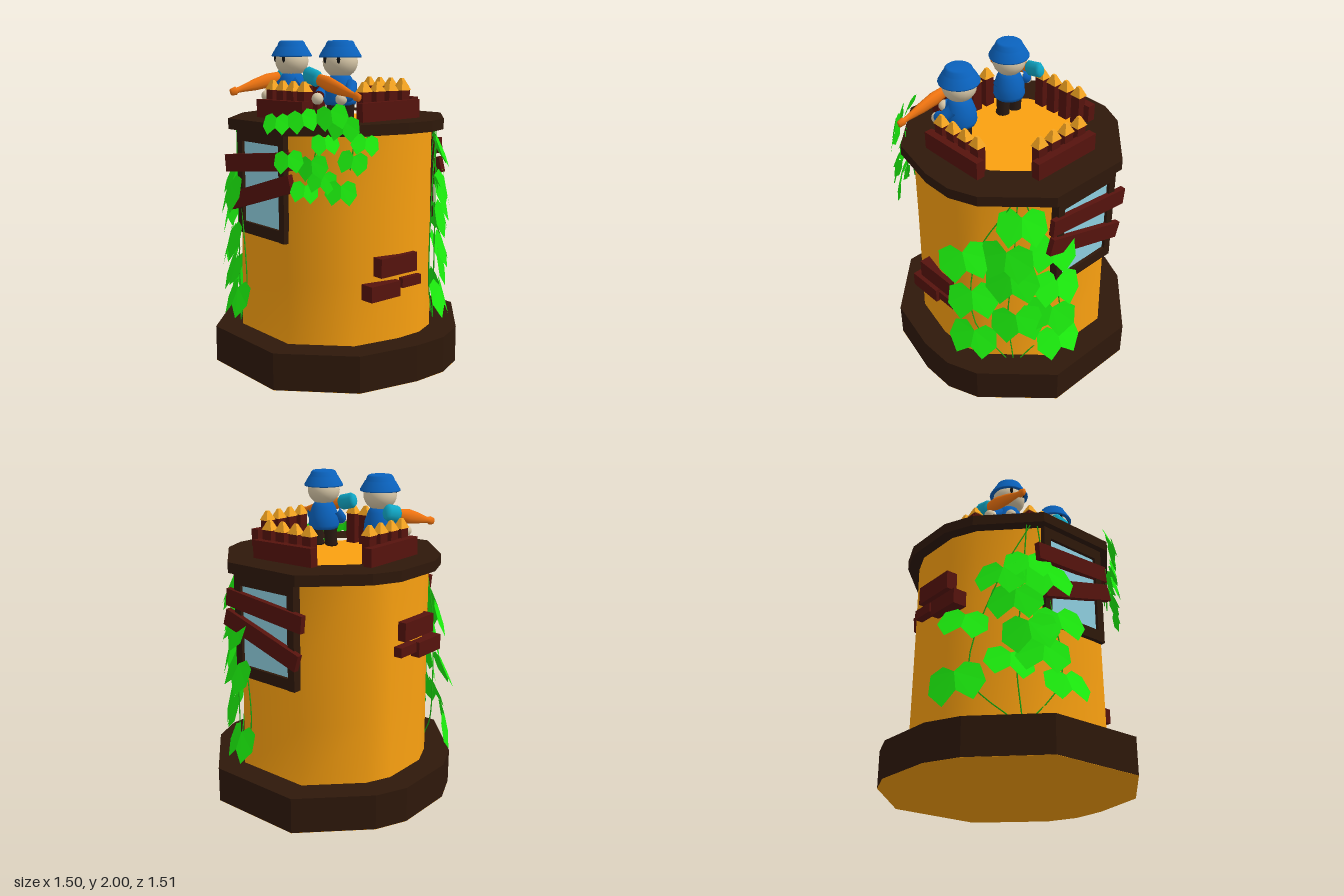
import * as THREE from 'three';

const mat = (color, extra = {}) => new THREE.MeshStandardMaterial({ color, ...extra });
const M = {
  wall: mat(0xf9a010), dark: mat(0x2e180a), plank: mat(0x56130d), glass: mat(0x8fd0e0),
  tip: mat(0xf5a521, { flatShading: true }), blue: mat(0x0a62bd), skin: mat(0xd8c8a8),
  cyan: mat(0x10a9c8), orange: mat(0xf07410), black: mat(0x111111), trousers: mat(0x2a1a12),
  leaf: mat(0x1cf00e, { side: THREE.DoubleSide, flatShading: true }), stem: mat(0x1cb010),
};

// Faceted plan of the tower, shared by base, wall and rim (x, z)
const PLAN = [[-0.3, -0.765], [0.315, -0.765], [0.68, -0.41], [0.758, -0.215], [0.758, 0.01], [0.675, 0.39],
  [0.315, 0.742], [-0.3, 0.742], [-0.65, 0.39], [-0.74, 0.18], [-0.74, -0.215], [-0.655, -0.41]];

function add(parent, name, geo, material, x = 0, y = 0, z = 0) {
  const m = new THREE.Mesh(geo, material);
  m.name = name;
  m.position.set(x, y, z);
  parent.add(m);
  return m;
}
const box = (p, name, m, w, h, d, x, y, z) => add(p, name, new THREE.BoxGeometry(w, h, d), m, x, y, z);
const lathe = (pts, n = 20) => new THREE.LatheGeometry(pts.map(p => new THREE.Vector2(...p)), n);
const planPoints = s => PLAN.map(([x, z]) => new THREE.Vector2(x * s, -z * s));

// Flat slab with the tower's plan, optionally with a hole
function slab(p, name, m, scale, y0, y1, hole) {
  const shape = new THREE.Shape(planPoints(scale));
  if (hole) shape.holes.push(new THREE.Path(planPoints(hole)));
  const g = new THREE.ExtrudeGeometry(shape, { depth: y1 - y0, bevelEnabled: false });
  g.rotateX(-Math.PI / 2);
  return add(p, name, g, m, 0, y0, 0);
}

// Smooth wall: stacked rings of the plan
function wallGeometry(rings) {
  const pos = [], idx = [], n = PLAN.length;
  rings.forEach(([y, s], r) => PLAN.forEach(([x, z], i) => {
    pos.push(x * s, y, z * s);
    if (r === 0) return;
    const t0 = r * n + i, t1 = r * n + (i + 1) % n, l0 = t0 - n, l1 = t1 - n;
    idx.push(l1, l0, t0, l1, t0, t1);
  }));
  const g = new THREE.BufferGeometry();
  g.setAttribute('position', new THREE.Float32BufferAttribute(pos, 3));
  g.setIndex(idx);
  g.computeVertexNormals();
  return g;
}

// Boarded window; dir is +1 for the front, -1 for the back, turn swings the boards into the wall
function boardedWindow(dir, face, x, turn) {
  const g = new THREE.Group();
  g.name = dir > 0 ? 'frontWindow' : 'backWindow';
  const z = d => dir * (face + d);
  box(g, 'glass', M.glass, 0.4, 0.52, 0.03, x, 1.155, z(0.01));
  for (const s of [-1, 1]) {
    box(g, 'windowJamb', M.dark, 0.05, 0.64, 0.06, x + s * 0.211, 1.155, z(0.015));
    box(g, 'windowRail', M.dark, 0.38, 0.07, 0.06, x, 1.155 + s * 0.283, z(0.015));
  }
  box(g, 'upperBoard', M.plank, 0.6, 0.105, 0.035, -0.005, 1.29, z(0.046)).rotation.set(0, turn, 0.11);
  box(g, 'lowerBoard', M.plank, 0.6, 0.105, 0.035, 0.02, 1.11, z(0.05)).rotation.set(0, turn, 0.3);
  return g;
}

// Rail with four tipped stakes; local +z points outward
function fence(name, x, z, yaw) {
  const g = new THREE.Group();
  g.name = name;
  box(g, 'rail', M.plank, 0.46, 0.11, 0.055, 0, 1.592, 0.045).rotation.z = 0.012;
  const tip = new THREE.CylinderGeometry(0.014, 0.056, 0.058, 4).rotateY(Math.PI / 4).scale(1, 1, 0.82);
  for (let i = 0; i < 4; i++) {
    const sx = (i - 1.5) * 0.104;
    box(g, 'stake', M.plank, 0.066, 0.21, 0.055, sx, 1.602, 0);
    add(g, 'stakeTip', tip, M.tip, sx, 1.733, 0);
  }
  g.position.set(x, 0, z);
  g.rotation.y = yaw;
  return g;
}

// Blaster from its rear end to its nozzle, slimmer sideways than upright
function blaster(from, to) {
  const g = new THREE.Group();
  g.name = 'blaster';
  const a = new THREE.Vector3(...from), d = new THREE.Vector3(...to).sub(a);
  add(g, 'tank', lathe([[0, 0], [0.035, 0], [0.05, 0.02], [0.05, 0.11], [0.035, 0.13], [0, 0.13]], 10), M.cyan);
  add(g, 'barrel', lathe([[0, 0.1], [0.032, 0.11], [0.045, 0.22], [0.036, 0.32], [0.02, 0.42], [0.018, 0.45],
    [0.027, 0.46], [0.022, 0.495], [0, 0.495]], 10), M.orange);
  const along = d.clone().normalize();
  const side = new THREE.Vector3(0, 1, 0).cross(along).normalize();
  g.quaternion.setFromRotationMatrix(new THREE.Matrix4().makeBasis(side, along, side.clone().cross(along)));
  g.position.copy(a);
  g.scale.set(0.68, d.length() / 0.495, 1);
  return g;
}

// Hatted guard; hands are given relative to the feet
function guard(name, x, z, yaw, hands) {
  const g = new THREE.Group();
  g.name = name;
  g.position.set(x, 1.5, z);
  for (const s of [-1, 1]) {
    const lx = s * 0.048 * Math.cos(yaw), lz = -s * 0.048 * Math.sin(yaw);
    add(g, 'leg', new THREE.CylinderGeometry(0.045, 0.04, 0.13, 12), M.trousers, lx, 0.085, lz);
    add(g, 'foot', new THREE.SphereGeometry(0.042, 12, 8), M.trousers, lx, 0.025, lz + 0.01).scale.y = 0.6;
  }
  add(g, 'shirt', lathe([[0, 0.12], [0.09, 0.125], [0.1, 0.15], [0.095, 0.21], [0.075, 0.27], [0.05, 0.31], [0, 0.315]]), M.blue);
  const head = new THREE.Group();
  head.name = 'head';
  head.position.y = 0.375;
  head.rotation.y = yaw;
  add(head, 'face', new THREE.SphereGeometry(0.104, 20, 14), M.skin).scale.y = 0.92;
  for (const s of [-1, 1]) add(head, 'eye', new THREE.SphereGeometry(0.014, 8, 8), M.black, s * 0.046, 0.015, 0.091).scale.set(0.8, 1.7, 0.7);
  add(head, 'hat', lathe([[0.09, 0.036], [0.124, 0.026], [0.126, 0.034], [0.096, 0.085], [0.09, 0.09], [0.08, 0.115],
    [0.068, 0.124], [0, 0.125]]), mat(0x0a62bd, { side: THREE.DoubleSide }));
  g.add(head);
  hands.forEach((h, i) => {
    const s = i ? 1 : -1;
    const hand = new THREE.Vector3(...h);
    const shoulder = new THREE.Vector3(s * 0.075 * Math.cos(yaw), 0.25, -s * 0.075 * Math.sin(yaw));
    const elbow = shoulder.clone().lerp(hand, 0.5).add(new THREE.Vector3(s * 0.025, -0.02, 0));
    const cuff = shoulder.clone().lerp(hand, 0.88);
    add(g, 'sleeve', new THREE.TubeGeometry(new THREE.CatmullRomCurve3([shoulder, elbow, cuff]), 8, 0.036, 10), M.blue);
    add(g, 'hand', new THREE.SphereGeometry(0.035, 12, 10), M.skin, ...h);
  });
  return g;
}

// Leaf of two six-sided lobes, folded along a short midrib
function leafGeometry() {
  const pos = [], idx = [];
  for (const s of [-1, 1]) {
    const o = pos.length / 3;
    pos.push(0, 0.24, 0, s * 0.2, 0.42, -0.03, s * 0.45, 0.33, -0.08, s * 0.52, -0.05, -0.1, s * 0.28, -0.4, -0.05, 0, -0.16, 0);
    for (let i = 1; i < 5; i++) idx.push(o, o + (s < 0 ? i : i + 1), o + (s < 0 ? i + 1 : i));
  }
  const g = new THREE.BufferGeometry();
  g.setAttribute('position', new THREE.Float32BufferAttribute(pos, 3));
  g.setIndex(idx);
  g.computeVertexNormals();
  return g;
}
const around = (deg, r, y) => {
  const a = THREE.MathUtils.degToRad(deg);
  return new THREE.Vector3(Math.sin(a) * r, y, Math.cos(a) * r);
};

// Vine around a middle angle: leaves as [degrees from the front, height], stems as lists of the same
function vine(name, middle, size, radius, leaves, stems) {
  const g = new THREE.Group(), geo = leafGeometry();
  g.name = name;
  leaves.forEach(([deg, y], i) => {
    const m = add(g, 'leaf', geo, M.leaf);
    const yaw = THREE.MathUtils.degToRad((deg + middle) / 2);
    const flare = 0.0018 * Math.abs(deg - middle);
    m.position.copy(around(deg, radius + flare + 0.01 * (i % 3), y));
    m.rotation.set(-0.42 + 0.1 * (i % 3), yaw + 0.22 * Math.sin(i * 2.3), 0.2 * Math.sin(i * 1.7), 'YXZ');
    m.scale.setScalar(size * (0.94 + 0.06 * (i % 3)));
  });
  for (const st of stems) {
    const curve = new THREE.CatmullRomCurve3(st.map(([d, y]) => around(d, radius - 0.04, y)));
    add(g, 'stem', new THREE.TubeGeometry(curve, 16, 0.004, 5), M.stem);
  }
  return g;
}

export function createModel() {
  const tower = new THREE.Group();
  tower.name = 'tower';

  // Base, wall, deck and rim
  slab(tower, 'underside', M.wall, 1, 0, 0.001);
  slab(tower, 'base', M.dark, 1, 0.001, 0.225);
  add(tower, 'wall', wallGeometry([[0.2, 0.785], [0.6, 0.778], [1.0, 0.772], [1.5, 0.77]]), M.wall);
  slab(tower, 'deck', M.wall, 0.6, 1.475, 1.51);
  slab(tower, 'rim', M.dark, 0.865, 1.47, 1.535, 0.54);

  tower.add(boardedWindow(1, 0.558, 0.012, 0.07), boardedWindow(-1, 0.6, 0.005, 0));

  // Exposed bricks on both flanks
  for (const [s, dy, x] of [[1, 0, 0.583], [-1, 0.455, 0.585]]) {
    box(tower, 'brick', M.plank, 0.08, 0.115, 0.29, s * x, 0.692 + dy, 0.035);
    box(tower, 'brick', M.plank, 0.09, 0.095, 0.23, s * x, 0.55 + dy, 0.145);
    box(tower, 'brick', M.plank, 0.08, 0.06, 0.155, s * x, 0.575 + dy, -0.07);
  }

  // Palisade
  tower.add(
    fence('frontFence', 0.01, 0.385, 0), fence('backFence', 0.01, -0.408, Math.PI),
    fence('leftFence', 0.417, -0.015, Math.PI / 2), fence('rightFence', -0.397, -0.015, -Math.PI / 2));

  // Guards and their blasters
  tower.add(
    guard('rightGuard', -0.18, 0.215, -0.05, [[-0.18, 0.17, 0.03], [-0.09, 0.16, 0.13]]),
    blaster([-0.325, 1.8, 0.08], [-0.347, 1.685, 0.56]),
    guard('leftGuard', 0.247, 0.178, 0.3, [[-0.01, 0.165, 0.165], [0.11, 0.165, 0.085]]),
    blaster([0.108, 1.805, 0.327], [0.588, 1.685, 0.327]));

  // Climbing vines
  tower.add(
    vine('frontRightVine', -37, 0.3, 0.67,
      [[-30, 1.18], [-20, 1.07], [-37, 0.93], [-61, 0.8], [-16, 0.8], [-30, 0.73],
        [-39, 0.56], [-24, 0.6], [-63, 0.43], [-12, 0.44], [-44, 1.08]],
      [[[-30, 1.47], [-33, 1.0], [-36, 0.6], [-33, 0.22]], [[-28, 1.47], [-45, 1.1], [-60, 0.5], [-36, 0.22]],
        [[-24, 1.47], [-18, 1.0], [-12, 0.5], [-30, 0.22]]]),
    vine('backLeftVine', 137, 0.3, 0.67,
      [[142, 1.32], [115, 1.06], [134, 1.08], [157, 1.12], [118, 0.76], [137, 0.9], [160, 0.85],
        [117, 0.43], [140, 0.58], [162, 0.4], [156, 0.63]],
      [[[140, 1.47], [138, 1.0], [135, 0.6], [138, 0.22]], [[138, 1.47], [118, 1.05], [116, 0.5], [134, 0.22]],
        [[144, 1.47], [158, 1.0], [164, 0.5], [142, 0.22]]]),
    vine('frontLeftVine', 45, 0.165, 0.68,
      [[22, 1.54], [35, 1.56], [53, 1.52], [63, 1.43], [28, 1.33], [39, 1.3], [35, 1.16], [43, 1.22],
        [48, 1.58], [45, 1.43], [57, 1.33], [52, 1.16]],
      [[[45, 1.55], [40, 1.4], [35, 1.12]], [[50, 1.56], [58, 1.45], [57, 1.28]], [[68, 1.46], [45, 1.52], [22, 1.5]]]));
  return tower;
}
